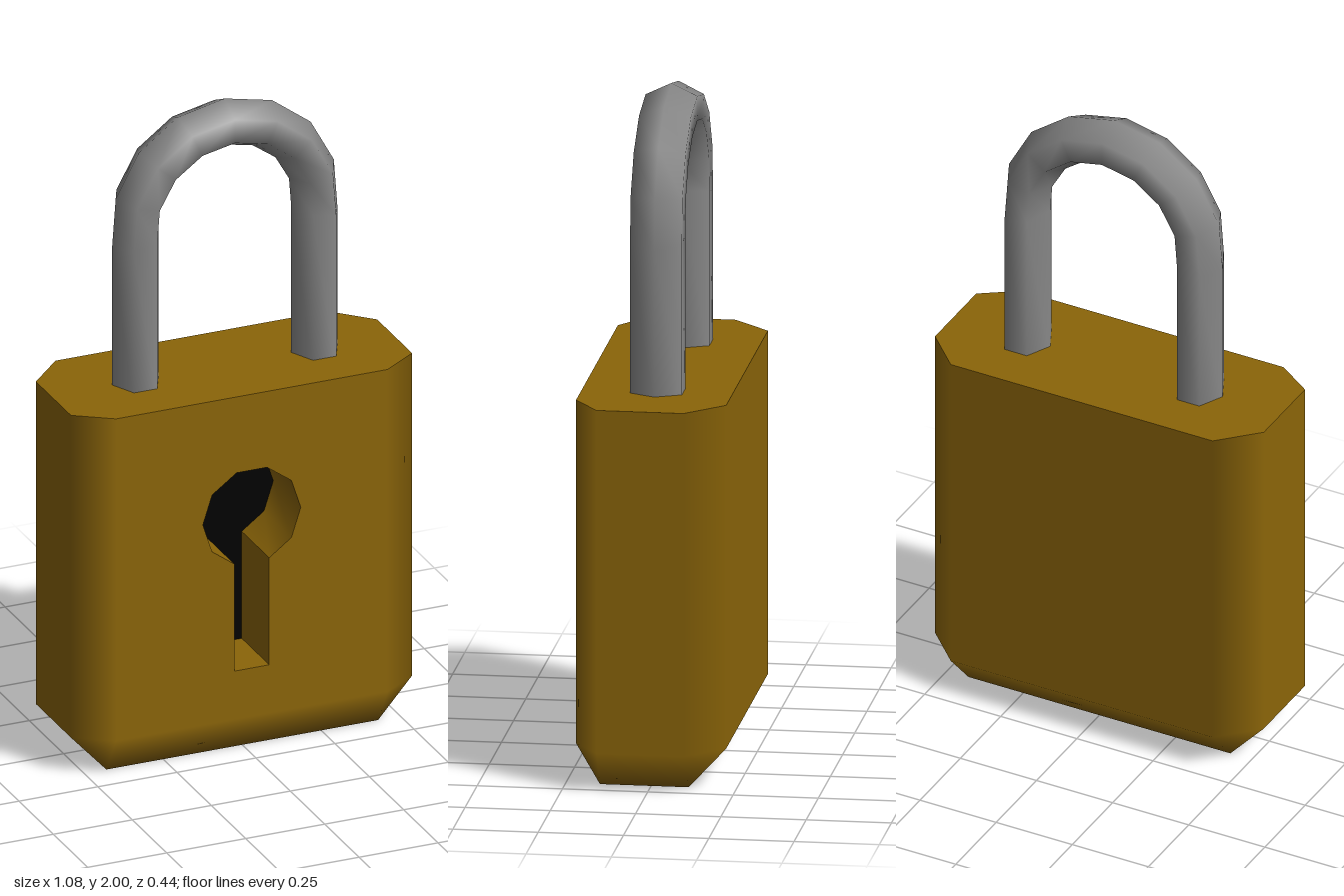
import * as THREE from 'three';
import { toCreasedNormals } from 'three/addons/utils/BufferGeometryUtils.js';

const BRASS = 0x8b6508, STEEL = 0x888888, DARK = 0x000000;
const TOP = 1.15, BEVEL = 0.12, FRONT = 0.22, FLOOR = 0.02;

function mesh(name, geometry, color) {
  const m = new THREE.Mesh(geometry, new THREE.MeshStandardMaterial({ color }));
  m.name = name;
  return m;
}

function buffer(positions, index, normals) {
  const g = new THREE.BufferGeometry();
  g.setAttribute('position', new THREE.Float32BufferAttribute(positions, 3));
  if (index) g.setIndex(index);
  if (normals) g.setAttribute('normal', new THREE.Float32BufferAttribute(normals, 3));
  else g.computeVertexNormals();
  return g;
}

// Chamfered footprint, anticlockwise from above: x, z, and the normal of the flat side it belongs to
const footprint = [
  [-0.43, 0.22, 0, 1], [0.43, 0.22, 0, 1], [0.54, 0.145, 1, 0], [0.54, -0.11, 1, 0],
  [0.43, -0.22, 0, -1], [-0.43, -0.22, 0, -1], [-0.54, -0.11, -1, 0], [-0.54, 0.145, -1, 0],
];

// Keyhole outline: a decagon whose lowest edge opens into a slot
function keyholePoints() {
  const pts = [];
  for (let i = -1; i <= 6; i++) {
    const a = i * Math.PI / 5;
    pts.push(new THREE.Vector2(0.155 * Math.cos(a), 0.76 + 0.155 * Math.sin(a)));
  }
  for (const [x, y] of [[-0.055, 0.617], [-0.055, 0.275], [0.055, 0.275], [0.055, 0.617]]) {
    pts.push(new THREE.Vector2(x, y));
  }
  return pts;
}

// Sides and bevelled underside; normals stay flat on the faces and blend over the chamfers
function caseSides() {
  const pos = [], nor = [], idx = [];
  for (const y of [0, BEVEL, TOP]) {
    for (const [x, z, nx, nz] of footprint) {
      if (y === 0) {
        pos.push(0.43 * Math.sign(x), 0, z > 0 ? 0.15 : -0.11);
        nor.push(0, -1, 0);
      } else {
        pos.push(x, y, z);
        nor.push(nx, 0, nz);
      }
    }
  }
  for (let r = 0; r < 2; r++) {
    for (let i = 0; i < 8; i++) {
      if (r === 1 && i === 0) continue; // the front panel goes here
      const a = r * 8 + i, b = r * 8 + (i + 1) % 8;
      idx.push(a, b, b + 8, a, b + 8, a + 8);
    }
  }
  idx.push(0, 5, 4, 0, 4, 1); // underside
  return buffer(pos, idx, nor);
}

// Inward-facing walls of the keyhole, smooth around the decagon and sharp at the slot
function keyholeWalls(pts) {
  const pos = [];
  pts.forEach((p, i) => {
    const q = pts[(i + 1) % pts.length];
    pos.push(p.x, p.y, FRONT, q.x, q.y, FRONT, q.x, q.y, FLOOR);
    pos.push(p.x, p.y, FRONT, q.x, q.y, FLOOR, p.x, p.y, FLOOR);
  });
  return toCreasedNormals(buffer(pos), Math.PI / 4);
}

// Six-sided bar bent into an arch: s runs from the inner curve (0) to the outer curve (1)
function shackleGeometry() {
  const section = [[1, 0], [0.75, 0.076], [0.25, 0.076], [0, 0], [0.25, -0.076], [0.75, -0.076]];
  const pos = [], idx = [], half = 4, step = THREE.MathUtils.degToRad(24.5);
  for (let i = -half - 1; i <= half + 1; i++) {
    const foot = Math.abs(i) > half;
    const a = THREE.MathUtils.clamp(i, -half, half) * step; // angle from the crown
    for (const [s, z] of section) {
      const y = 1.65 - 0.01 * s + (0.203 + 0.157 * s) * Math.cos(a);
      pos.push(0.01 - (0.212 + 0.148 * s) * Math.sin(a), foot ? 1.1 : y, z);
    }
  }
  for (let i = 0; i < 2 * half + 2; i++) {
    for (let k = 0; k < 6; k++) {
      const p = i * 6 + k, q = i * 6 + (k + 1) % 6;
      idx.push(p, p + 6, q + 6, p, q + 6, q);
    }
  }
  return buffer(pos, idx);
}

export function createModel() {
  const group = new THREE.Group();
  group.name = 'padlock';
  const hole = keyholePoints();

  // Case
  const body = new THREE.Group();
  body.name = 'case';
  const panel = new THREE.Shape([[-0.43, BEVEL], [0.43, BEVEL], [0.43, TOP], [-0.43, TOP]]
    .map(([x, y]) => new THREE.Vector2(x, y)));
  panel.holes.push(new THREE.Path(hole));
  const lid = new THREE.Shape(footprint.map(([x, z]) => new THREE.Vector2(x, -z)));
  body.add(
    mesh('caseSides', caseSides(), BRASS),
    mesh('caseFront', new THREE.ShapeGeometry(panel).translate(0, 0, FRONT), BRASS),
    mesh('caseTop', new THREE.ShapeGeometry(lid).rotateX(-Math.PI / 2).translate(0, TOP, 0), BRASS),
  );

  // Keyhole
  const keyhole = new THREE.Group();
  keyhole.name = 'keyhole';
  keyhole.add(
    mesh('keyholeWalls', keyholeWalls(hole), BRASS),
    mesh('keyholeFloor', new THREE.ShapeGeometry(new THREE.Shape(hole)).translate(0, 0, FLOOR), DARK),
  );

  group.add(body, keyhole, mesh('shackle', shackleGeometry(), STEEL));
  return group;
}
